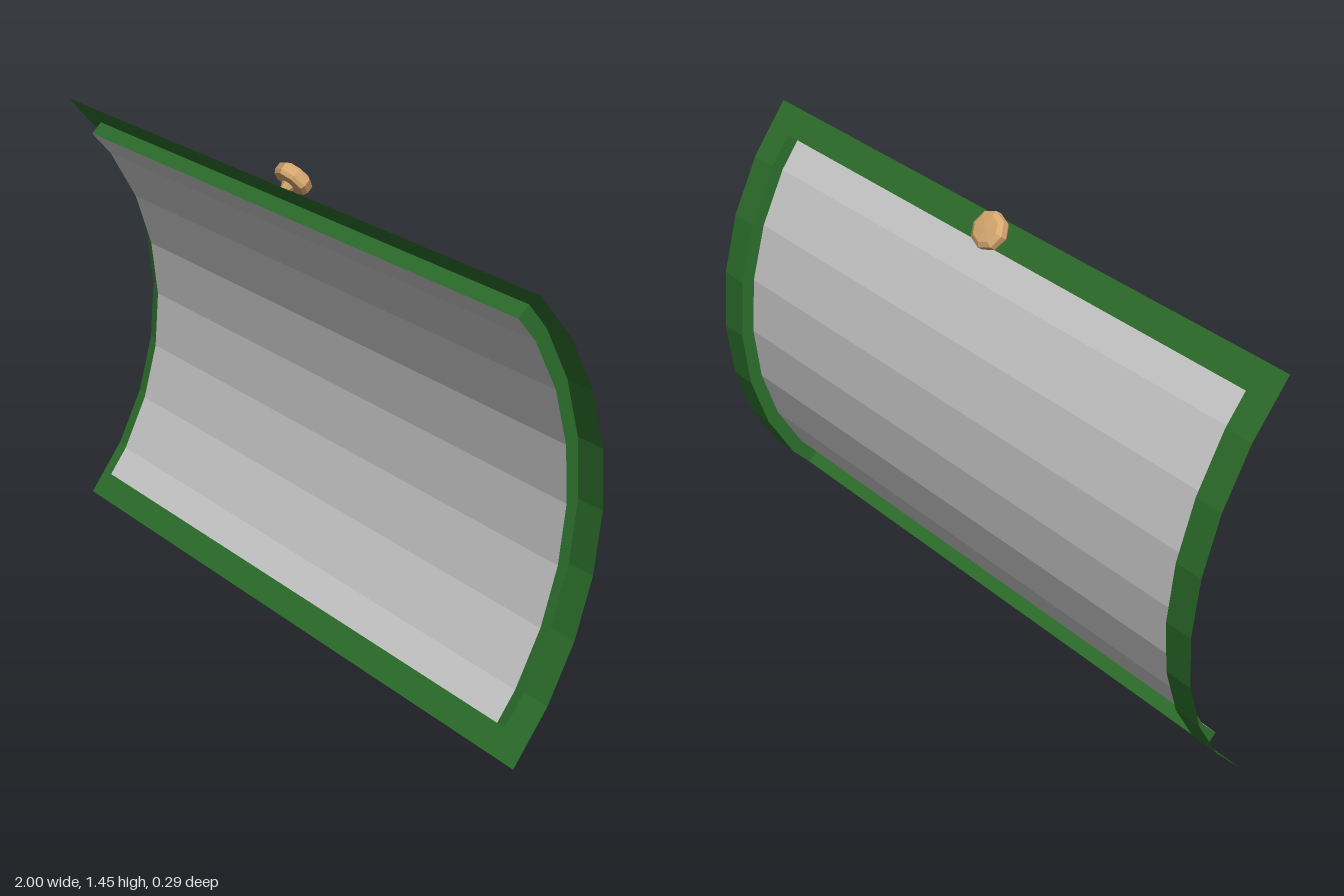
import * as THREE from 'three';

const R_OUT = 0.99, R_IN = 0.945;      // flange and pane radii
const STEP = Math.PI / 16;             // eight facets over a quarter turn
const X_IN = 0.913, X_OUT = 1, K_IN = 3.55, K_OUT = 4;

// Point on the faceted arc; k runs from -4 (bottom) to 4 (top)
function arc(x, k, r) {
  const corner = (i) => new THREE.Vector3(x, 0.7 + r * Math.sin(i * STEP), 0.845 - r * Math.cos(i * STEP));
  const lo = Math.floor(k);
  return corner(lo).lerp(corner(lo + 1), k - lo);
}

// Flat-shaded ribbon between two rows of points
function ribbon(a, b) {
  const pos = [];
  for (let i = 0; i < a.length - 1; i++) {
    for (const p of [a[i], b[i], b[i + 1], a[i], b[i + 1], a[i + 1]]) pos.push(p.x, p.y, p.z);
  }
  const g = new THREE.BufferGeometry();
  g.setAttribute('position', new THREE.Float32BufferAttribute(pos, 3));
  g.computeVertexNormals();
  return g;
}

export function createModel() {
  const model = new THREE.Group();
  const green = new THREE.MeshStandardMaterial({ color: 0x2c6e2b, side: THREE.DoubleSide });
  const grey = new THREE.MeshStandardMaterial({ color: 0xcccccc, side: THREE.DoubleSide });
  const wood = new THREE.MeshStandardMaterial({ color: 0xd8a870, flatShading: true });
  const add = (name, geometry, material) => {
    const mesh = new THREE.Mesh(geometry, material);
    mesh.name = name;
    model.add(mesh);
    return mesh;
  };

  const inner = [-K_IN, -3, -2, -1, 0, 1, 2, 3, K_IN];
  const full = [-K_OUT, ...inner, K_OUT];
  const row = (x, ks, r) => ks.map((k) => arc(x, k, r));

  // Curved pane, set in from the flange
  add('pane', ribbon(row(X_IN, inner, R_IN), row(-X_IN, inner, R_IN)), grey);

  for (const s of [1, -1]) {
    const side = s > 0 ? 'left' : 'right';
    const end = s > 0 ? 'top' : 'bottom';
    // Side flange and the wall joining it to the pane
    add(side + 'Flange', ribbon(row(s * X_OUT, full, R_OUT), row(s * X_IN, full, R_OUT)), green);
    add(side + 'Wall', ribbon(row(s * X_IN, inner, R_OUT), row(s * X_IN, inner, R_IN)), green);
    // End flange and wall
    const across = (k, r) => [arc(-X_IN, k, r), arc(X_IN, k, r)];
    add(end + 'Flange', ribbon(across(s * K_OUT, R_OUT), across(s * K_IN, R_OUT)), green);
    add(end + 'Wall', ribbon(across(s * K_IN, R_OUT), across(s * K_IN, R_IN)), green);
  }

  // Faceted knob standing square on the top flange
  const profile = [
    [0.018, 0], [0.014, 0.012], [0.02, 0.03], [0.05, 0.034],
    [0.056, 0.045], [0.056, 0.067], [0.042, 0.077], [0, 0.08],
  ].map(([r, y]) => new THREE.Vector2(r, y));
  const knob = add('knob', new THREE.LatheGeometry(profile, 8), wood);
  knob.position.copy(arc(0, 3.77, R_OUT));
  knob.rotation.x = 3.5 * STEP - Math.PI / 2;

  return model;
}
